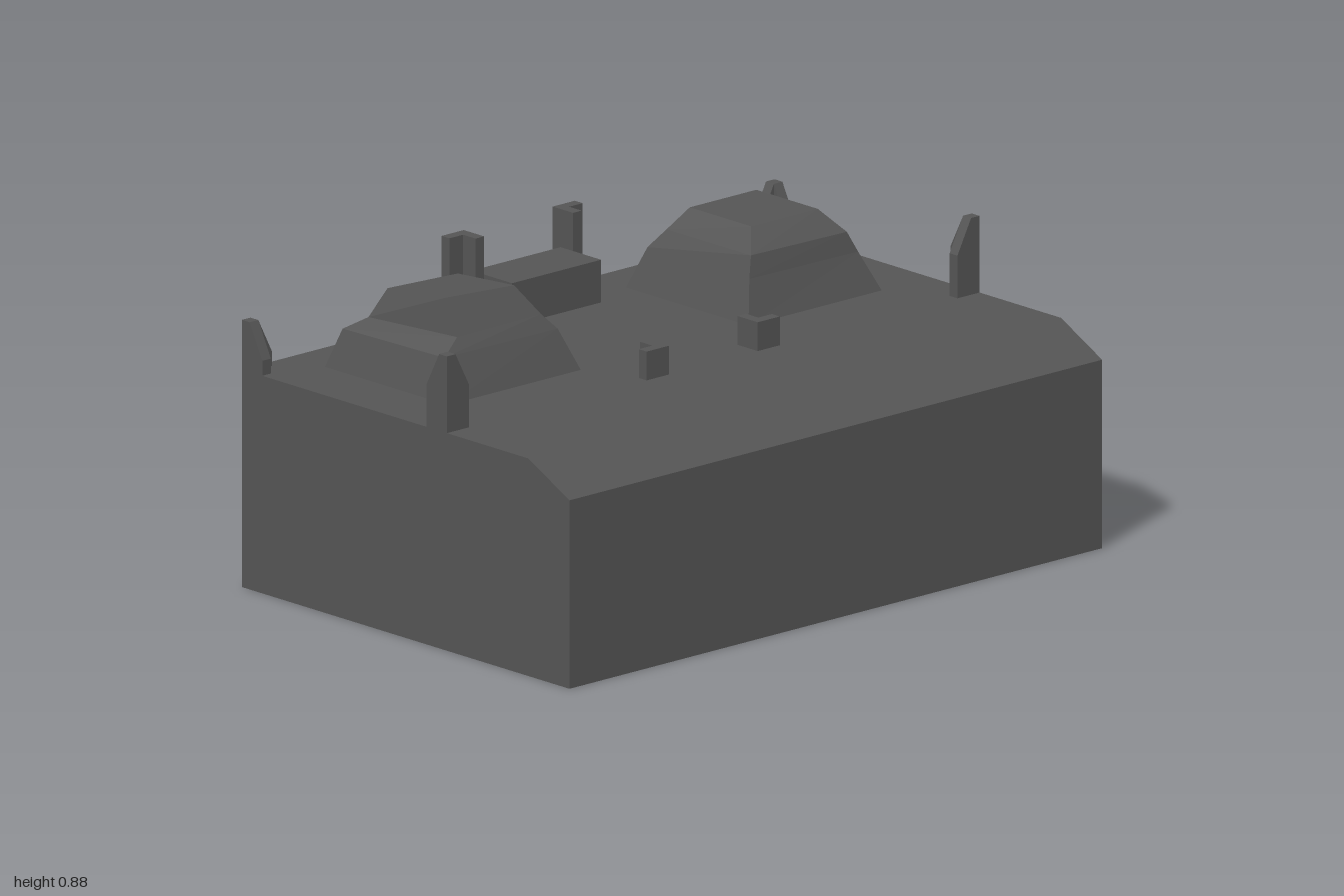
import * as THREE from 'three';

const DECK = 0.627, BACK = -0.667;
const material = new THREE.MeshStandardMaterial({ color: 0x555555, flatShading: true, side: THREE.DoubleSide });

function addMesh(parent, name, geometry) {
  const mesh = new THREE.Mesh(geometry, material);
  mesh.name = name;
  parent.add(mesh);
  return mesh;
}

// Geometry from polygons, each a counter-clockwise list of 3D corners
function polygons(list) {
  const pos = [];
  for (const p of list)
    for (let i = 1; i < p.length - 1; i++) pos.push(...p[0], ...p[i], ...p[i + 1]);
  const g = new THREE.BufferGeometry();
  g.setAttribute('position', new THREE.Float32BufferAttribute(pos, 3));
  g.computeVertexNormals();
  return g;
}

// Hollow block, open underneath, with a sloping front edge
function bodyGeometry() {
  const profile = [[0, 0.667], [0.543, 0.667], [DECK, 0.5], [DECK, BACK], [0, BACK]];
  const at = (x) => profile.map(([y, z]) => [x, y, z]);
  const l = at(-1), r = at(1);
  const faces = [l, [...r].reverse()];
  for (let i = 0; i < 4; i++) faces.push([l[i], r[i], r[i + 1], l[i + 1]]);
  return polygons(faces);
}

// Mound lofted through rings ordered front-left, front-right, back-right, back-left
function moundGeometry(rings) {
  const faces = [rings[rings.length - 1]];
  for (let k = 0; k < rings.length - 1; k++)
    for (let i = 0; i < 4; i++) {
      const j = (i + 1) % 4;
      faces.push([rings[k][i], rings[k][j], rings[k + 1][j], rings[k + 1][i]]);
    }
  return polygons(faces);
}

const baseRing = (x) => [
  [x - 0.25, DECK, -0.03], [x + 0.25, DECK, -0.03],
  [x + 0.25, DECK, -0.53], [x - 0.25, DECK, -0.53],
];

// L-shaped bracket: two plates meeting at a corner, arms along +x and +z
function bracket(parent, name, top, shoulder, x, z, sx, sz) {
  const g = new THREE.Group();
  g.name = name;
  const shape = new THREE.Shape([
    [0, DECK], [0.083, DECK], [0.083, shoulder], [0.032, top], [0, top],
  ].map(([u, y]) => new THREE.Vector2(u, y)));
  const plate = new THREE.ExtrudeGeometry(shape, { depth: 0.032, bevelEnabled: false });
  addMesh(g, 'sidewaysPlate', plate);
  addMesh(g, 'lengthwisePlate', plate.clone().rotateY(-Math.PI / 2).translate(0.032, 0, 0));
  g.position.set(x, 0, z);
  g.scale.set(sx, 1, sz);
  parent.add(g);
}

export function createModel() {
  const model = new THREE.Group();
  model.name = 'block';
  addMesh(model, 'body', bodyGeometry());

  // Two irregular mounds: base, skirt, shoulder and top rings
  addMesh(model, 'leftMound', moundGeometry([
    baseRing(0.565),
    [[0.355, 0.745, -0.07], [0.765, 0.74, -0.072], [0.778, 0.71, -0.478], [0.355, 0.745, -0.485]],
    [[0.375, 0.805, -0.085], [0.735, 0.8, -0.085], [0.735, 0.795, -0.43], [0.385, 0.8, -0.44]],
    [[0.44, 0.86, -0.155], [0.69, 0.86, -0.155], [0.69, 0.86, -0.405], [0.44, 0.86, -0.405]],
  ]));
  addMesh(model, 'rightMound', moundGeometry([
    baseRing(-0.565),
    [[-0.78, 0.745, -0.08], [-0.36, 0.745, -0.075], [-0.355, 0.74, -0.485], [-0.785, 0.74, -0.49]],
    [[-0.71, 0.785, -0.105], [-0.4, 0.79, -0.1], [-0.4, 0.79, -0.44], [-0.725, 0.77, -0.45]],
    [[-0.7, 0.883, -0.165], [-0.455, 0.873, -0.15], [-0.44, 0.85, -0.395], [-0.69, 0.855, -0.41]],
  ]));

  // Low step between the rear inner posts
  const stepBox = new THREE.BoxGeometry(0.334, 0.75 - DECK, 0.165);
  addMesh(model, 'rearStep', stepBox).position.set(0, (0.75 + DECK) / 2, -0.5525);

  // Posts mirrored about the centre
  for (const s of [-1, 1]) {
    const side = s > 0 ? 'left' : 'right';
    bracket(model, side + 'RearCornerPost', 0.77, 0.67, s, BACK, -s, 1);
    bracket(model, side + 'FrontCornerPost', 0.848, 0.75, s, 0.168, -s, -1);
    bracket(model, side + 'RearInnerPost', 0.86, 0.86, s * 0.167, BACK, s, 1);
    bracket(model, side + 'FrontInnerPost', 0.71, 0.71, s * 0.167, 0.168, s, -1);
  }
  return model;
}
